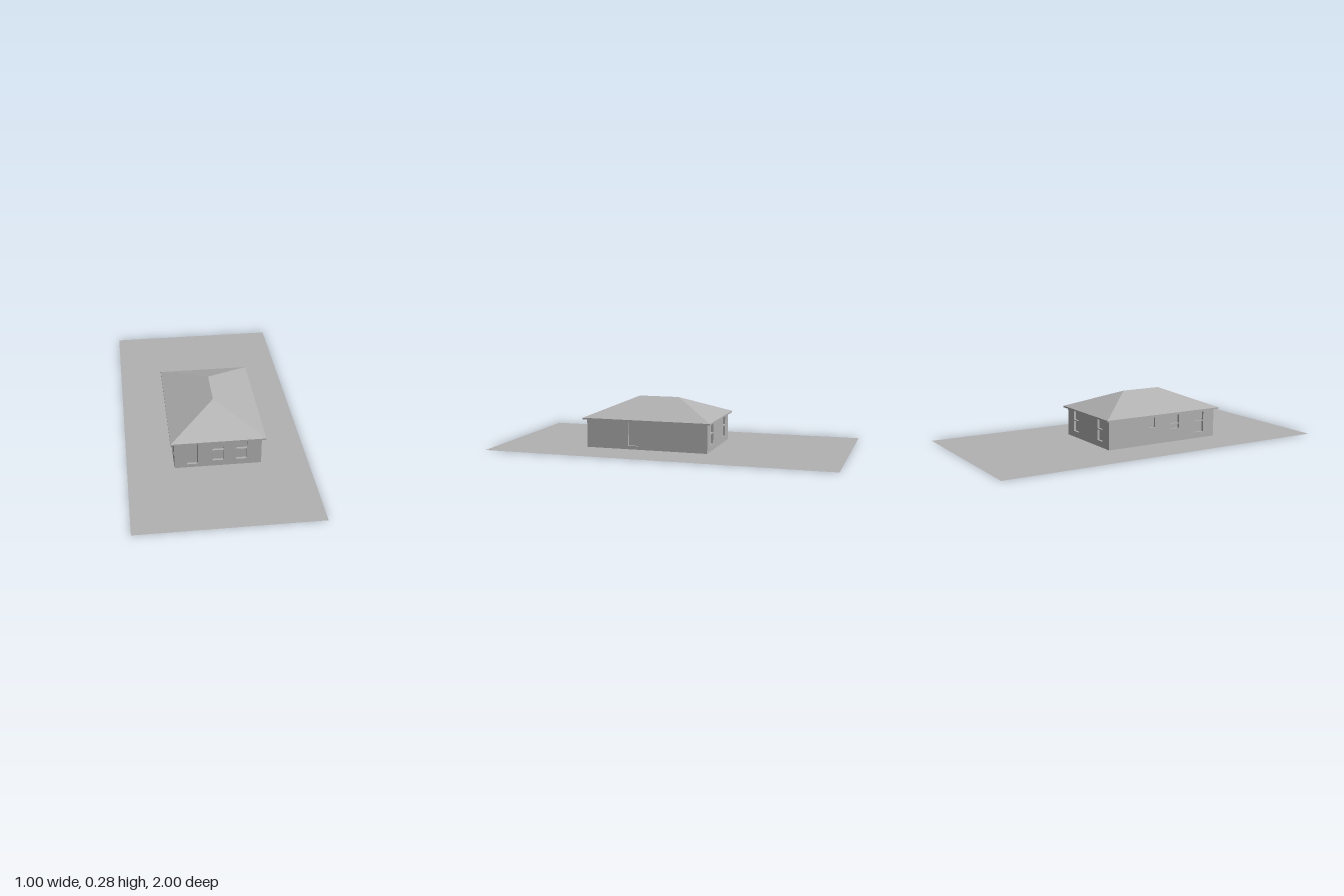
import * as THREE from 'three';

const T = 0.014; // wall skin depth, i.e. depth of the window and door recesses
const W = 0.24, BACK = -0.24, FRONT = 0.48, WALL_TOP = 0.166, MID_Z = 0.12;

const rect = (C, a, b, y0, y1) => {
  const p = new C();
  p.moveTo(a, y0).lineTo(b, y0).lineTo(b, y1).lineTo(a, y1).closePath();
  return p;
};

// Openings as [start, end, bottom, top] along a wall
const door = (a) => [[a, a + 0.06, 0.02, 0.155]];
const tallWindow = (a) => [[a, a + 0.06, 0.035, 0.097], [a, a + 0.06, 0.103, 0.155]];

export function createModel() {
  const model = new THREE.Group();
  const grey = new THREE.MeshStandardMaterial({ color: 0xb2b2b2 });
  grey.name = 'plain grey';
  grey.side = THREE.DoubleSide;

  const add = (name, geometry, parent = model) => {
    const mesh = new THREE.Mesh(geometry, grey);
    mesh.name = name;
    parent.add(mesh);
    return mesh;
  };

  // Flat plot of land
  add('ground', new THREE.PlaneGeometry(1, 2).rotateX(-Math.PI / 2));

  // Inner block that closes the recesses
  const core = new THREE.BoxGeometry(2 * (W - T), WALL_TOP, FRONT - BACK - 2 * T);
  add('recessPanels', core.translate(0, WALL_TOP / 2, MID_Z));

  // Outer wall skins with openings cut through
  const wall = (name, half, openings, angle, x, z) => {
    const shape = rect(THREE.Shape, -half, half, 0, WALL_TOP);
    openings.forEach((o) => shape.holes.push(rect(THREE.Path, ...o)));
    const mesh = add(name, new THREE.ExtrudeGeometry(shape, { depth: T, bevelEnabled: false }));
    mesh.rotation.y = angle;
    mesh.position.set(x, 0, z);
  };
  const sideHalf = (FRONT - BACK) / 2 - T;
  wall('frontWall', W, [...door(-0.17), ...tallWindow(-0.03), ...tallWindow(0.1)], 0, 0, FRONT - T);
  wall('backWall', W, [...tallWindow(-0.17), ...tallWindow(0.11)], Math.PI, 0, BACK + T);
  // Along the left wall, local x runs towards -z
  wall('leftWall', sideHalf, door(MID_Z - 0.23), Math.PI / 2, W - T, MID_Z);
  // Along the right wall, local x runs towards +z
  wall('rightWall', sideHalf, [
    [0.028 - MID_Z, 0.065 - MID_Z, 0.097, 0.155],
    [0.168 - MID_Z, 0.23 - MID_Z, 0.075, 0.1],
    [0.168 - MID_Z, 0.23 - MID_Z, 0.106, 0.155],
    ...tallWindow(0.345 - MID_Z),
  ], -Math.PI / 2, -W + T, MID_Z);

  // Slanted jamb beside the front door
  const jamb = new THREE.Shape();
  jamb.moveTo(-0.114, -(FRONT - T)).lineTo(-0.11, -(FRONT - T)).lineTo(-0.11, -FRONT).closePath();
  const jambGeometry = new THREE.ExtrudeGeometry(jamb, { depth: 0.135, bevelEnabled: false });
  add('doorJamb', jambGeometry.rotateX(-Math.PI / 2).translate(0, 0.02, 0));

  // Eave slab
  const eave = new THREE.BoxGeometry(0.52, 0.009, 0.76);
  add('eaves', eave.translate(0, 0.1685, MID_Z));

  // Hip roof: a box whose top is pinched to the ridge line
  const roof = new THREE.BoxGeometry(0.52, 0.107, 0.76).toNonIndexed();
  const p = roof.attributes.position;
  for (let i = 0; i < p.count; i++) {
    if (p.getY(i) > 0) p.setXYZ(i, 0, p.getY(i), Math.sign(p.getZ(i)) * 0.12);
  }
  roof.computeVertexNormals();
  add('hipRoof', roof.translate(0, 0.173 + 0.0535, MID_Z));

  return model;
}
